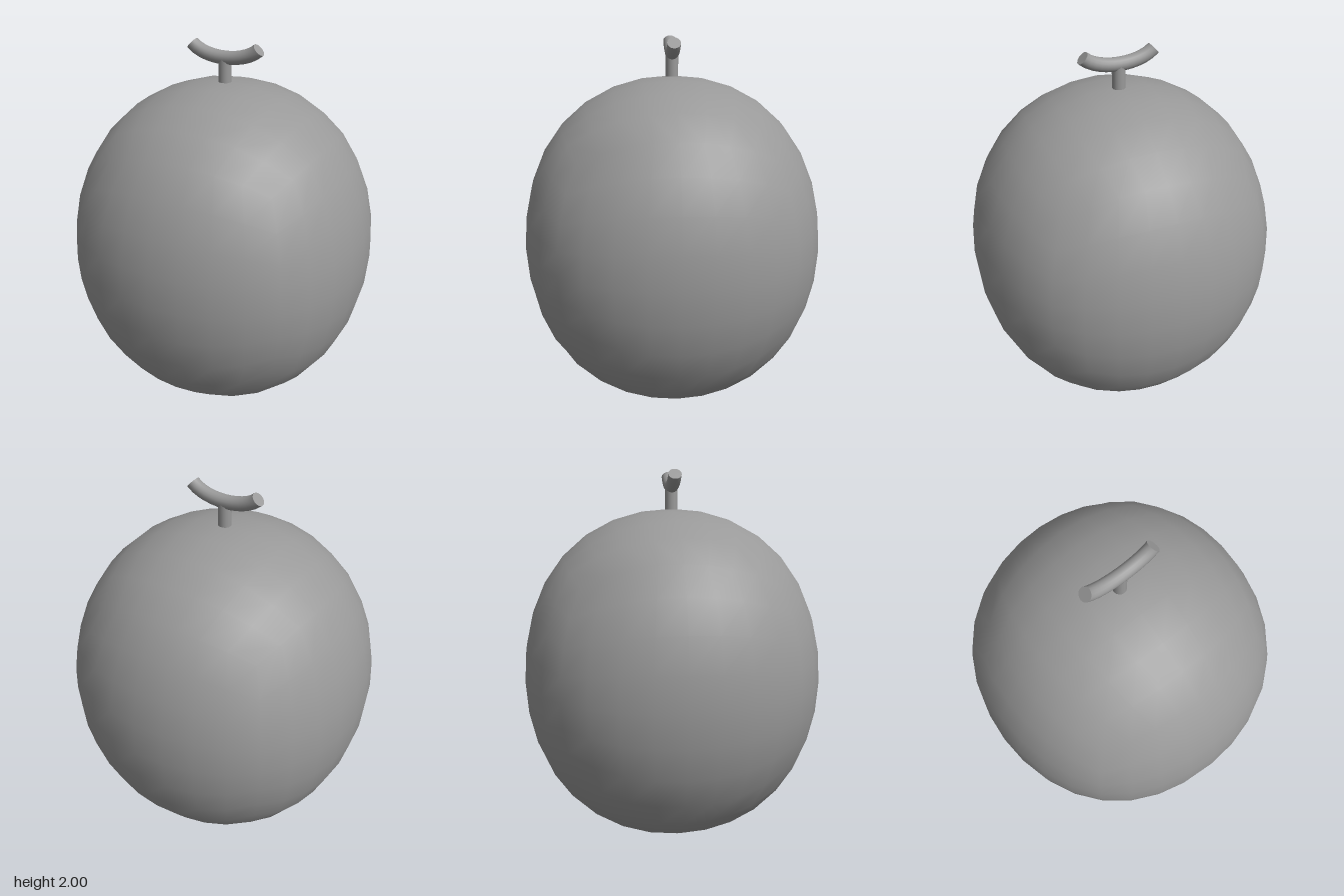
import * as THREE from 'three';
import { mergeVertices } from 'three/addons/utils/BufferGeometryUtils.js';

// Cube grid rounded into a ball that bulges gently towards the cube's edges and corners
function roundedCube(rx, ry, rz) {
  const box = new THREE.BoxGeometry(2, 2, 2, 8, 8, 8);
  box.deleteAttribute('normal');
  box.deleteAttribute('uv');
  const geometry = mergeVertices(box);
  const pos = geometry.attributes.position;
  const v = new THREE.Vector3();
  const even = (t) => Math.tan(t * Math.PI / 4);
  for (let i = 0; i < pos.count; i++) {
    v.fromBufferAttribute(pos, i);
    v.set(even(v.x), even(v.y), even(v.z)).normalize();
    v.multiplyScalar(1 + 0.05 * (1 - v.x ** 4 - v.y ** 4 - v.z ** 4));
    pos.setXYZ(i, v.x * rx, v.y * ry, v.z * rz);
  }
  geometry.computeVertexNormals();
  return geometry;
}

export function createModel() {
  const model = new THREE.Group();
  const material = new THREE.MeshStandardMaterial({ color: 0x999999 });
  const add = (name, geometry, x, y) => {
    const mesh = new THREE.Mesh(geometry, material);
    mesh.name = name;
    mesh.position.set(x, y, 0);
    model.add(mesh);
    return mesh;
  };

  // Slightly tall round fruit
  add('fruit', roundedCube(0.81, 0.9, 0.81), 0, 0.9);

  // Short upright stem, sunk into the fruit and the twig
  add('stem', new THREE.CylinderGeometry(0.034, 0.034, 0.2, 16), 0, 1.82);

  // Curved twig across the top of the stem
  const r = 0.035, tipX = 0.186, tipY = 1.974, tilt = THREE.MathUtils.degToRad(43);
  const dx = 0.08, dy = dx * Math.tan(tilt);
  const curve = new THREE.CubicBezierCurve3(
    new THREE.Vector3(-tipX, tipY, 0),
    new THREE.Vector3(-tipX + dx, tipY - dy, 0),
    new THREE.Vector3(tipX - dx, tipY - dy, 0),
    new THREE.Vector3(tipX, tipY, 0));
  add('twig', new THREE.TubeGeometry(curve, 12, r, 16), 0, 0);

  // Flat cut ends of the twig
  for (const s of [-1, 1]) {
    const end = add('twigEnd', new THREE.CircleGeometry(r, 16), s * tipX, tipY);
    end.rotation.set(0, s * Math.PI / 2, s * tilt, 'ZYX');
  }
  return model;
}
